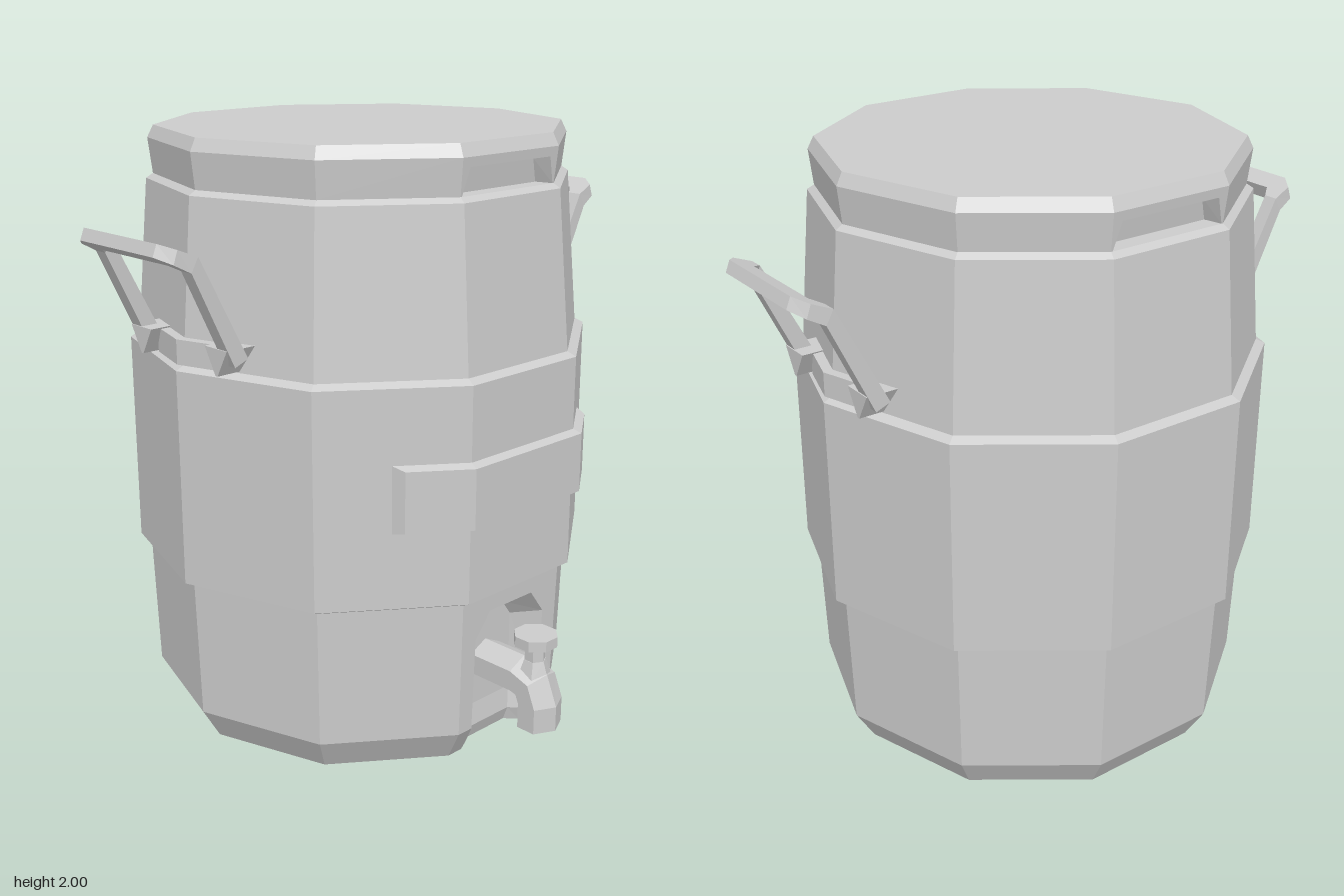
import * as THREE from 'three';

const C = -0.08;                       // z of the barrel's axis
const STEP = Math.PI / 5;              // ten sides
const COS = Math.cos(STEP / 2), SIN = Math.sin(STEP / 2);
const material = new THREE.MeshStandardMaterial({ color: 0xcccccc, flatShading: true });

// Barrel profile: [radius, height]
const PROFILE = [
  [0.665, 0], [0.73, 0.11], [0.745, 0.575], [0.78, 0.592], [0.78, 1.3], [0.75, 1.315],
  [0.705, 1.83], [0.682, 1.845], [0.695, 1.96], [0.675, 2],
];

function radiusAt(y) {
  let i = 0;
  while (i < PROFILE.length - 2 && y > PROFILE[i + 1][1]) i++;
  const [r0, y0] = PROFILE[i], [r1, y1] = PROFILE[i + 1];
  return r0 + (r1 - r0) * (y - y0) / (y1 - y0);
}
const frontZ = y => radiusAt(y) * COS;
const halfWidth = y => radiusAt(y) * SIN;

function quad(out, a, b, c, d) {
  out.push(...a, ...b, ...c, ...a, ...c, ...d);
}

// Skin a row of loops; skip(i, j) leaves a face out
function loft(loops, { start = false, end = true, skip = () => false } = {}) {
  const out = [], n = loops[0].length;
  for (let i = 0; i < loops.length - 1; i++) {
    for (let j = 0; j < n; j++) {
      const k = (j + 1) % n;
      if (!skip(i, j)) quad(out, loops[i][j], loops[i][k], loops[i + 1][k], loops[i + 1][j]);
    }
  }
  const cap = L => {
    for (let i = 0; i < n / 2 - 1; i++) quad(out, L[i], L[i + 1], L[n - 2 - i], L[n - 1 - i]);
  };
  if (start) cap([...loops[0]].reverse());
  if (end) cap(loops[loops.length - 1]);
  return out;
}

function mesh(name, positions) {
  const g = new THREE.BufferGeometry();
  g.setAttribute('position', new THREE.Float32BufferAttribute(positions, 3));
  g.computeVertexNormals();
  const m = new THREE.Mesh(g, material);
  m.name = name;
  return m;
}

function add(parent, name, geometry, x = 0, y = 0, z = 0) {
  const m = new THREE.Mesh(geometry, material);
  m.name = name;
  m.position.set(x, y, z);
  parent.add(m);
  return m;
}

// Right half of an outline, completed by its mirror image
const mirrored = half => [...half, ...half.map(([x, ...rest]) => [-x, ...rest]).reverse()];

// Flat outline laid onto the front side of the barrel
function frontSheet(points) {
  const g = new THREE.ShapeGeometry(new THREE.Shape(points.map(p => new THREE.Vector2(...p))));
  const pos = g.attributes.position;
  for (let i = 0; i < pos.count; i++) pos.setZ(i, frontZ(pos.getY(i)));
  g.computeVertexNormals();
  return g;
}
const onFront = points => points.map(([x, y]) => [x, y, frontZ(y)]);

function ring([r, y]) {
  return Array.from({ length: 10 }, (_, j) => {
    const t = (j - 0.5) * STEP;
    return [r * Math.sin(t), y, r * Math.cos(t)];
  });
}

function barrel() {
  const g = new THREE.Group();
  g.name = 'barrel';
  // Sides and top, open where the recesses are cut
  g.add(mesh('shell', loft(PROFILE.map(ring), {
    skip: (i, j) => (j === 0 && i < 2) || (j % 5 === 0 && i === 7),
  })));

  // Tap alcove, open at the foot
  const edge = [[0.145, 0], [0.15, 0.05], [0.165, 0.11], [0.165, 0.43], [0.1, 0.515]];
  const inner = [
    [0.11, 0, frontZ(0) - 0.04], [0.11, 0.05, frontZ(0.05) - 0.05],
    [0.12, 0.125, 0.6], [0.12, 0.4, 0.6], [0.08, 0.455, 0.6],
  ];
  const w0 = halfWidth(0), w1 = halfWidth(0.11), w2 = halfWidth(0.575);
  g.add(mesh('tapAlcove', loft([onFront(mirrored(edge)), mirrored(inner)], { skip: (i, j) => j === 9 })));
  for (const s of [1, -1]) {
    add(g, 'footChamfer', frontSheet([...edge.slice(0, 3), [w1, 0.11], [w0, 0]].map(([x, y]) => [s * x, y])));
  }
  add(g, 'alcoveSurround', frontSheet(mirrored([[w2, 0.575], [w1, 0.11], ...edge.slice(2)])));

  // Underside with the alcove's notch
  const base = ring(PROFILE[0]).map(p => [p[0], p[2]]);
  const z0 = frontZ(0);
  const outline = [...base.slice(1), base[0], [-0.145, z0], [-0.11, z0 - 0.04], [0.11, z0 - 0.04], [0.145, z0]];
  add(g, 'underside', new THREE.ShapeGeometry(new THREE.Shape(outline.map(p => new THREE.Vector2(...p)))).rotateX(Math.PI / 2));

  // Finger grips in the lid, front and back
  const grip = [[0.205, 1.845], [0.18, 1.93]];
  const gripBack = [[0.192, 1.845, 0.59], [0.168, 1.92, 0.6]];
  for (const turn of [0, Math.PI]) {
    const side = new THREE.Group();
    side.name = 'lidGrip';
    side.rotation.y = turn;
    side.add(mesh('gripRecess', loft([onFront(mirrored(grip)), mirrored(gripBack)])));
    add(side, 'gripSurround', frontSheet(mirrored(
      [[halfWidth(1.96), 1.96], [halfWidth(1.845), 1.845], ...grip])));
    g.add(side);
  }
  return g;
}

// Raised plate folded round three sides of the band
function frontPlate() {
  const loop = (cols, y0, y1) => [
    ...cols.map(([x, z]) => [x, y0, z]), ...[...cols].reverse().map(([x, z]) => [x, y1, z])];
  const both = (a, b) => [[-b[0], b[1]], [-a[0], a[1]], a, b];
  return mesh('frontPlate', loft([
    loop(both([0.241, 0.74], [0.438, 0.597]), 0.84, 1.06),
    loop(both([0.25, 0.77], [0.425, 0.643]), 0.85, 1.048),
  ]));
}

function handle() {
  const g = new THREE.Group();
  g.name = 'handle';
  // Bent bar: [outer upper, outer lower, outer z, inner upper, inner lower, inner z]
  const half = [
    [[0.69, 1.37], [0.74, 1.35], 0.243, [0.69, 1.37], [0.74, 1.35], 0.193],
    [[0.86, 1.7], [0.885, 1.655], 0.243, [0.86, 1.7], [0.885, 1.655], 0.193],
    [[0.925, 1.727], [0.94, 1.685], 0.235, [0.895, 1.715], [0.91, 1.67], 0.165],
    [[0.96, 1.742], [0.975, 1.705], 0.185, [0.895, 1.715], [0.91, 1.67], 0.155],
  ];
  const section = ([ou, ol, oz, iu, il, iz], s) =>
    [[...ou, s * oz], [...ol, s * oz], [...il, s * iz], [...iu, s * iz]];
  g.add(mesh('handleBar', loft([
    ...half.map(n => section(n, 1)), ...[...half].reverse().map(n => section(n, -1)),
  ], { start: true })));
  // Mounting strip following the barrel's corner
  const strip = [[0.68, 0.17], [0.722, 0.17], [0.775, 0], [0.722, -0.17], [0.68, -0.17], [0.68, 0]];
  g.add(mesh('mountStrip', loft([1.32, 1.4].map(y => strip.map(([x, z]) => [x, y, z])), { start: true })));
  // Tapered brackets under the legs
  for (const s of [1, -1]) {
    const wedge = [[1.405, 0.243], [1.32, 0.195], [1.32, 0.185], [1.405, 0.137]];
    const ordered = s > 0 ? wedge : [...wedge].reverse();
    g.add(mesh('handleBracket', loft([0.66, 0.77].map(x => ordered.map(([y, z]) => [x, y, s * z])), { start: true })));
  }
  return g;
}

function tap() {
  const g = new THREE.Group();
  g.name = 'tap';
  // Six-sided elbow: [y, z, tilt of the section]
  const sections = [
    [0.277, 0.5, 0], [0.277, 0.69, 0], [0.262, 0.74, Math.PI / 4],
    [0.21, 0.762, Math.PI / 2], [0.125, 0.762, Math.PI / 2],
  ];
  g.add(mesh('spout', loft(sections.map(([y, z, tilt]) =>
    Array.from({ length: 6 }, (_, i) => {
      const a = i * Math.PI / 3, v = 0.068 * Math.cos(a);
      return [-0.08 * Math.sin(a), y + v * Math.cos(tilt), z + v * Math.sin(tilt)];
    })))));
  add(g, 'tapStem', new THREE.CylinderGeometry(0.035, 0.035, 0.07, 6), 0, 0.38, 0.735);
  add(g, 'tapCollar', new THREE.CylinderGeometry(0.037, 0.058, 0.06, 6), 0, 0.32, 0.735);
  add(g, 'tapKnob', new THREE.CylinderGeometry(0.073, 0.073, 0.035, 8, 1, false, Math.PI / 8), 0, 0.422, 0.735);
  return g;
}

export function createModel() {
  const model = new THREE.Group();
  model.name = 'drinksCooler';
  const body = new THREE.Group();
  body.name = 'body';
  body.position.z = C;
  body.add(barrel(), frontPlate());
  for (const turn of [0, Math.PI]) {
    const h = handle();
    h.rotation.y = turn;
    body.add(h);
  }
  model.add(body, tap());
  return model;
}
